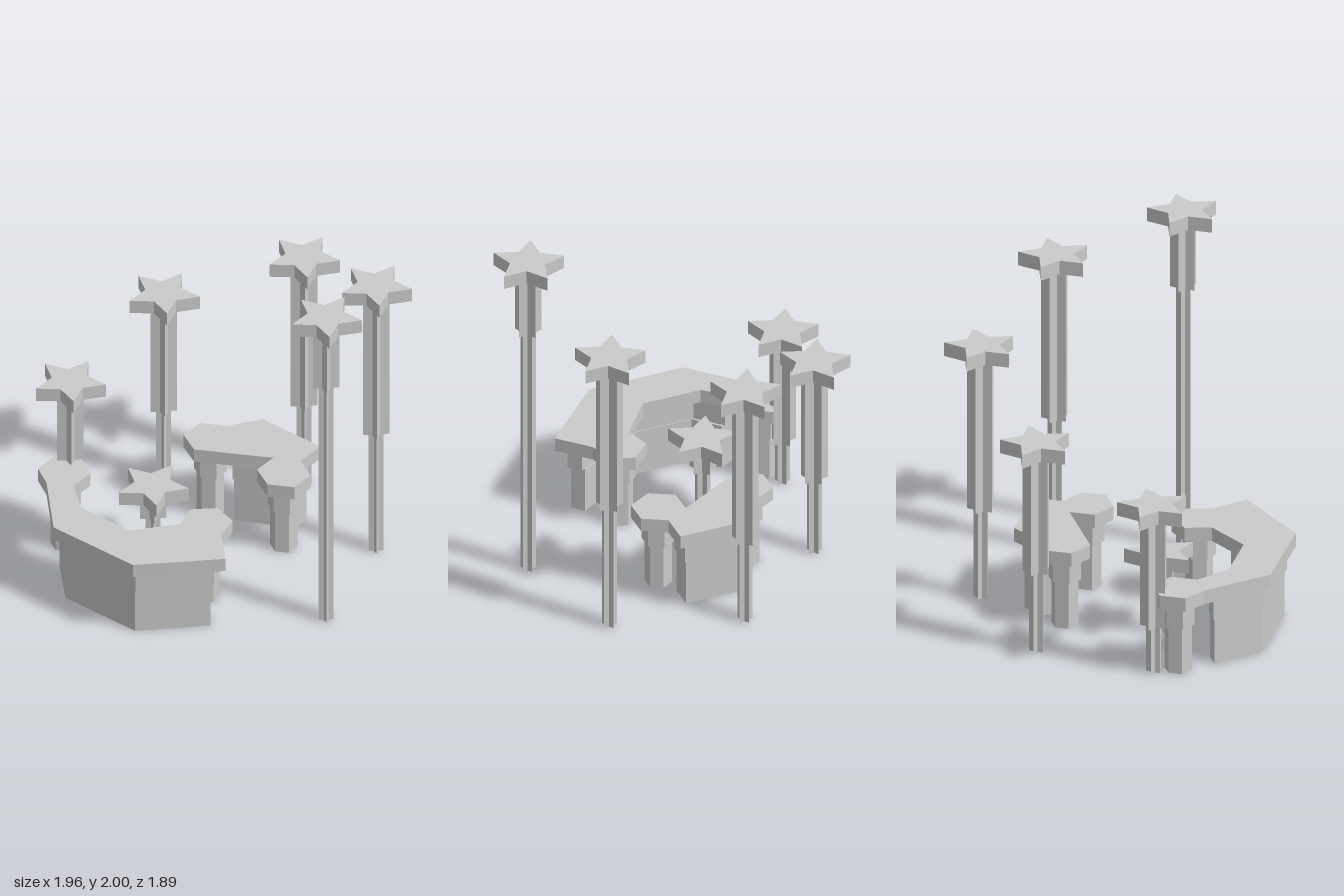
import * as THREE from 'three';

const material = new THREE.MeshStandardMaterial({ color: 0xcccccc, flatShading: true });

// Upright prism from a plan outline of [x, z] points
function prism(name, points, y0, y1) {
  const shape = new THREE.Shape(points.map(([x, z]) => new THREE.Vector2(x, -z)));
  const geometry = new THREE.ExtrudeGeometry(shape, { depth: y1 - y0, bevelEnabled: false });
  geometry.rotateX(-Math.PI / 2).translate(0, y0, 0);
  const mesh = new THREE.Mesh(geometry, material);
  mesh.name = name;
  return mesh;
}

// Five-pointed star outline
function star(cx, cz, radius) {
  return Array.from({ length: 10 }, (_, i) => {
    const a = THREE.MathUtils.degToRad(-99 + i * 36);
    const r = i % 2 ? radius * 0.5 : radius;
    return [cx + r * Math.cos(a), cz + r * Math.sin(a)];
  });
}

// Hexagon outline
function hexagon(cx, cz, radius, turn) {
  return Array.from({ length: 6 }, (_, i) => {
    const a = THREE.MathUtils.degToRad(turn + i * 60);
    return [cx + radius * Math.cos(a), cz + radius * Math.sin(a)];
  });
}

const scaled = (points, cx, cz, s) => points.map(([x, z]) => [cx + (x - cx) * s, cz + (z - cz) * s]);

// Heights shared by the counters
const BASE = 0.27, BAND = 0.4, TOP = 0.48;

// Star-topped post: thin lower shaft, thicker upper shaft, star cap
function starPost(x, z, top, step) {
  const group = new THREE.Group();
  group.name = 'starPost';
  group.add(
    prism('lowerShaft', star(x, z, 0.043), 0, step),
    prism('upperShaft', star(x, z, 0.076), step, top - 0.08),
    prism('starCap', star(x, z, 0.2), top - 0.08, top),
  );
  return group;
}

// Counter: top slab over a stepped body and hexagonal legs
function counter(name, slab, body, [cx, cz], legs) {
  const group = new THREE.Group();
  group.name = name;
  group.add(
    prism('counterTop', slab, BAND, TOP),
    prism('bodyBand', body, BASE, BAND),
    prism('bodyBase', scaled(body, cx, cz, 0.955), 0, BASE),
  );
  for (const [x, z, turn] of legs) {
    group.add(
      prism('legCollar', hexagon(x, z, 0.09, turn), BASE, BAND),
      prism('leg', hexagon(x, z, 0.075, turn), 0, BASE),
    );
  }
  return group;
}

export function createModel() {
  const model = new THREE.Group();
  model.name = 'starPostsAndCounters';

  // x, z, top height, height where the shaft widens
  const posts = [
    [0.80, 0.15, 2.0, 1.54],
    [0.605, -0.515, 1.75, 0.775],
    [-0.087, -0.75, 1.495, 0.52],
    [-0.685, -0.29, 1.24, 0.47],
    [-0.783, 0.386, 0.99, BASE],
    [-0.28, 0.297, TOP, BASE],
  ];
  for (const post of posts) model.add(starPost(...post));

  // Large curved counter at the front
  model.add(counter(
    'frontCounter',
    [[-0.44, 0.945], [0.11, 0.945], [0.46, 0.587], [0.304, 0.43], [0.267, 0.288], [0.13, 0.25],
      [0.026, 0.35], [0.068, 0.49], [-0.105, 0.71], [-0.44, 0.71], [-0.6, 0.58], [-0.6, 0.433],
      [-0.725, 0.36], [-0.85, 0.433], [-0.85, 0.577], [-0.73, 0.65]],
    [[-0.417, 0.9], [0.09, 0.9], [0.385, 0.59], [0.325, 0.53], [-0.08, 0.76], [-0.42, 0.76],
      [-0.55, 0.63], [-0.64, 0.68]],
    [-0.13, 0.66],
    [[-0.725, 0.505, 30], [0.165, 0.395, 15]],
  ));

  // Small counter at the back
  model.add(counter(
    'backCounter',
    [[-0.44, -0.3], [-0.31, -0.37], [-0.2, -0.54], [0.2, -0.54], [0.2, -0.37], [0.33, -0.3],
      [0.33, -0.16], [0.2, -0.09], [0.07, -0.16], [0.07, -0.3], [-0.31, -0.09], [-0.44, -0.16]],
    [[-0.175, -0.495], [0.155, -0.495], [0.155, -0.35], [0.05, -0.34], [-0.16, -0.235], [-0.25, -0.37]],
    [-0.05, -0.38],
    [[-0.31, -0.23, 30], [0.2, -0.23, 30]],
  ));

  return model;
}
